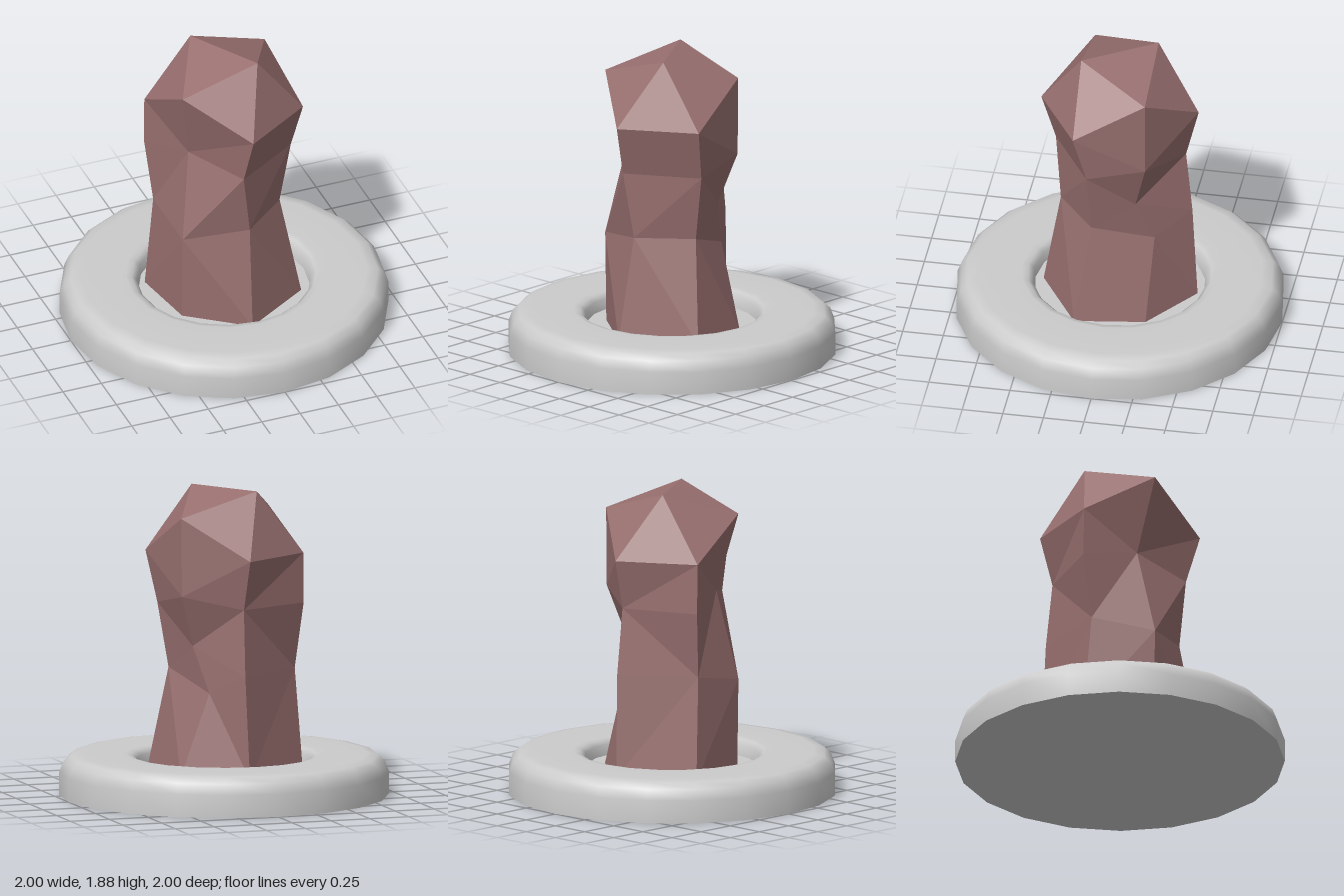
import * as THREE from 'three';

// Six corners per loop, counterclockwise from the front one
const head = [[0, 1.49, 0.485], [0.43, 1.49, 0.215], [0.35, 1.735, -0.215], [0, 1.49, -0.485], [-0.435, 1.49, -0.215], [-0.355, 1.735, 0.215]];
const neck = [[-0.03, 1.185, 0.4], [0.38, 1.18, 0.14], [0.345, 1.255, -0.215], [0.015, 1.185, -0.41], [-0.435, 1.185, -0.22], [-0.275, 1.265, 0.105]];
const waist = [[0.025, 0.78, 0.36], [0.315, 0.78, 0.12], [0.18, 0.66, -0.245], [0.02, 0.78, -0.45], [-0.395, 0.78, -0.17], [-0.355, 0.71, 0.215]];
const foot = [[0, 0.15, 0.47], [0.42, 0.15, 0.21], [0.355, 0.15, -0.22], [0, 0.15, -0.478], [-0.43, 0.15, -0.22], [-0.355, 0.15, 0.205]];
// The dent is one corner pushed in below the neck
const dent = neck.map((p, i) => (i === 2 ? [0.25, 0.94, -0.14] : p));

function pillarGeometry() {
  const positions = [];
  const tri = (a, b, c) => {
    if (a !== b && b !== c && a !== c) positions.push(...a, ...b, ...c);
  };
  const dist = (a, b) => Math.hypot(a[0] - b[0], a[1] - b[1], a[2] - b[2]);

  // Faceted crown around the two top corners
  const back = [-0.135, 1.88, -0.215];
  const front = [0.133, 1.88, 0.215];
  for (let i = 0; i < 6; i++) {
    const peak = i === 5 || i < 2 ? front : back;
    tri(peak, head[i], head[(i + 1) % 6]);
  }
  tri(front, head[2], back);
  tri(back, head[5], front);

  // Side bands, each quad split along its shorter diagonal
  const rings = [head, neck, dent, waist, foot];
  for (let r = 0; r < rings.length - 1; r++) {
    for (let i = 0; i < 6; i++) {
      const j = (i + 1) % 6;
      const a = rings[r][i], b = rings[r + 1][i], c = rings[r + 1][j], d = rings[r][j];
      if (dist(a, c) < dist(b, d)) {
        tri(a, b, c);
        tri(a, c, d);
      } else {
        tri(a, b, d);
        tri(b, c, d);
      }
    }
  }
  const geometry = new THREE.BufferGeometry();
  geometry.setAttribute('position', new THREE.Float32BufferAttribute(positions, 3));
  geometry.computeVertexNormals();
  return geometry;
}

export function createModel() {
  const model = new THREE.Group();
  model.name = 'pillarOnBase';
  const grey = new THREE.MeshStandardMaterial({ color: 0xcccccc });
  const brown = new THREE.MeshStandardMaterial({ color: 0x986f6f, flatShading: true });
  const sides = 20;

  const add = (name, geometry, material) => {
    const mesh = new THREE.Mesh(geometry, material);
    mesh.name = name;
    model.add(mesh);
    return mesh;
  };

  // Ring with a rounded outer rim and a soft inner lip
  const profile = [
    [1, 0], [1, 0.14], [0.975, 0.205], [0.935, 0.24], [0.87, 0.25],
    [0.6, 0.25], [0.56, 0.242], [0.53, 0.215], [0.52, 0.15],
  ].map(([x, y]) => new THREE.Vector2(x, y));
  add('baseRing', new THREE.LatheGeometry(profile, sides), grey);

  // Recess floor and underside
  const floor = add('recessFloor', new THREE.CircleGeometry(0.52, sides), grey);
  floor.rotation.x = -Math.PI / 2;
  floor.position.y = 0.15;
  const underside = add('baseUnderside', new THREE.CircleGeometry(1, sides), grey);
  underside.rotation.x = Math.PI / 2;

  add('pillar', pillarGeometry(), brown);
  return model;
}
